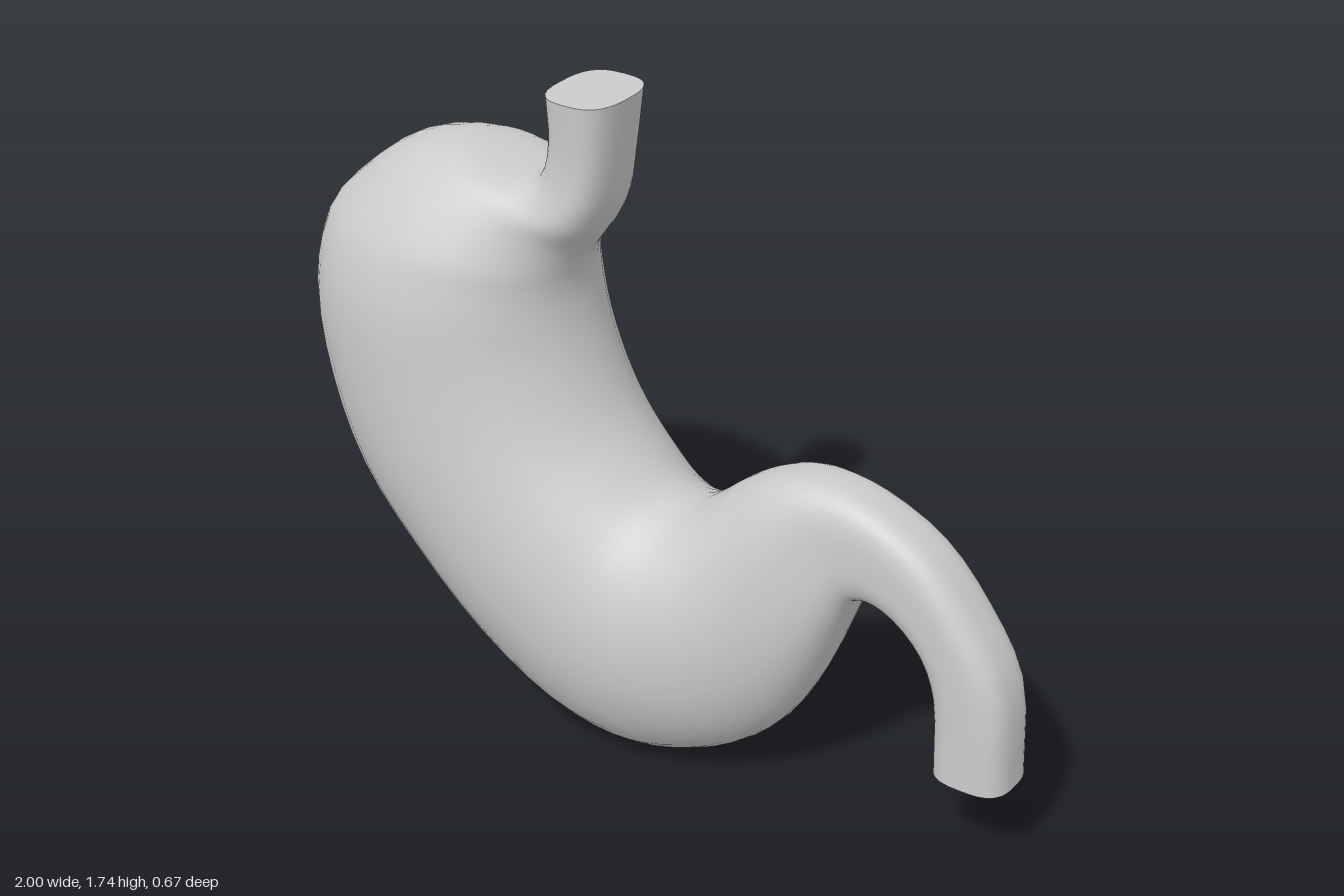
import * as THREE from 'three';

// Cross-sections from the upper tube to the lower tube:
// [inner curve x, y, outer curve x, y, half depth]
const SECTIONS = [
  [-0.11, 1.74, -0.30, 1.74, 0.12],
  [-0.13, 1.58, -0.295, 1.62, 0.112],
  [-0.15, 1.47, -0.32, 1.53, 0.12],
  [-0.18, 1.40, -0.40, 1.51, 0.14],
  [-0.21, 1.35, -0.58, 1.545, 0.175],
  [-0.235, 1.31, -0.74, 1.505, 0.225],
  [-0.25, 1.27, -0.88, 1.40, 0.28],
  [-0.255, 1.24, -0.96, 1.31, 0.305],
  [-0.255, 1.19, -1.00, 1.12, 0.33],
  [-0.235, 1.09, -0.965, 0.86, 0.335],
  [-0.19, 0.97, -0.87, 0.62, 0.335],
  [-0.14, 0.88, -0.70, 0.41, 0.33],
  [-0.07, 0.80, -0.48, 0.20, 0.32],
  [0.00, 0.745, -0.25, 0.05, 0.30],
  [0.06, 0.733, -0.07, 0.003, 0.28],
  [0.11, 0.745, 0.08, 0.02, 0.26],
  [0.16, 0.78, 0.24, 0.09, 0.225],
  [0.23, 0.84, 0.37, 0.21, 0.19],
  [0.30, 0.885, 0.46, 0.37, 0.16],
  [0.38, 0.915, 0.53, 0.55, 0.125],
  [0.46, 0.925, 0.565, 0.63, 0.105],
  [0.58, 0.91, 0.61, 0.643, 0.095],
  [0.75, 0.83, 0.68, 0.62, 0.093],
  [0.88, 0.69, 0.755, 0.55, 0.093],
  [0.98, 0.52, 0.79, 0.45, 0.093],
  [1.00, 0.25, 0.80, 0.25, 0.093],
];
const STEPS = (SECTIONS.length - 1) * 3;
const AROUND = 40;

const innerCurve = new THREE.CatmullRomCurve3(SECTIONS.map(([x, y, , , d]) => new THREE.Vector3(x, y, d)));
const outerCurve = new THREE.CatmullRomCurve3(SECTIONS.map(([, , x, y, d]) => new THREE.Vector3(x, y, d)));

// One closed ring: round on the wide body, squarer on the narrow tubes
function ring(t) {
  const a = innerCurve.getPoint(t), b = outerCurve.getPoint(t);
  const depth = (a.z + b.z) / 2;
  const power = 2 / THREE.MathUtils.lerp(3, 2, THREE.MathUtils.smoothstep(depth, 0.09, 0.2));
  const bend = (v) => Math.sign(v) * Math.abs(v) ** power;
  return Array.from({ length: AROUND }, (_, j) => {
    const angle = (j / AROUND) * Math.PI * 2;
    const k = (1 + bend(Math.cos(angle))) / 2;
    return new THREE.Vector3(
      THREE.MathUtils.lerp(b.x, a.x, k),
      THREE.MathUtils.lerp(b.y, a.y, k),
      depth * bend(Math.sin(angle)));
  });
}

function makeMesh(name, points, index, material) {
  const geometry = new THREE.BufferGeometry().setFromPoints(points);
  geometry.setIndex(index);
  geometry.computeVertexNormals();
  const mesh = new THREE.Mesh(geometry, material);
  mesh.name = name;
  return mesh;
}

// Flat end closing a tube
function makeCap(name, t, facingUp, material) {
  const points = ring(t);
  const center = points.reduce((sum, p) => sum.add(p), new THREE.Vector3()).divideScalar(AROUND);
  const index = [];
  for (let j = 0; j < AROUND; j++) {
    const next = (j + 1) % AROUND;
    index.push(AROUND, ...(facingUp ? [next, j] : [j, next]));
  }
  return makeMesh(name, [...points, center], index, material);
}

export function createModel() {
  const group = new THREE.Group();
  group.name = 'stomach';
  const material = new THREE.MeshStandardMaterial({ color: 0xcccccc });

  // Continuous wall: upper tube, domed body, and curved outlet tube
  const points = [], index = [];
  for (let i = 0; i <= STEPS; i++) {
    points.push(...ring(i / STEPS));
    if (i === STEPS) break;
    for (let j = 0; j < AROUND; j++) {
      const a = i * AROUND + j, b = i * AROUND + ((j + 1) % AROUND);
      index.push(a, b, a + AROUND, b, b + AROUND, a + AROUND);
    }
  }
  group.add(makeMesh('stomachWall', points, index, material));

  // Ends of the two tubes
  group.add(makeCap('esophagusEnd', 0, true, material));
  group.add(makeCap('duodenumEnd', 1, false, material));
  return group;
}
